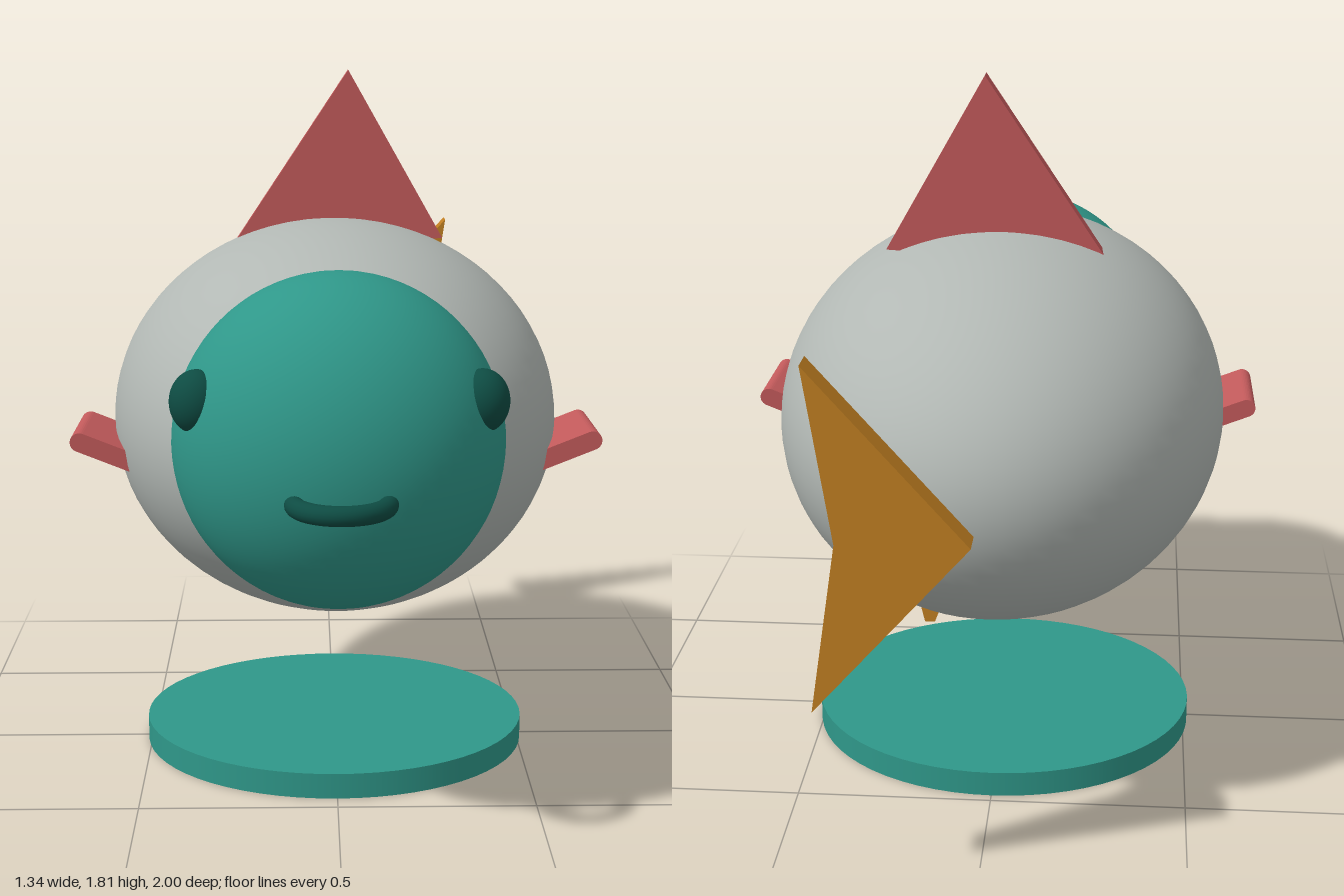
import * as THREE from 'three';

const paint = (name, color) => {
  const m = new THREE.MeshStandardMaterial({ color });
  m.name = name;
  return m;
};

export function createModel() {
  const group = new THREE.Group();
  const grey = paint('silver grey', 0xb2b8b4);
  const teal = paint('teal', 0x2f9789);
  const dark = paint('dark green', 0x0e4c43);
  const red = paint('coral red', 0xc25a5b);
  const amber = paint('amber', 0xc17f22);

  const add = (name, geometry, material, x = 0, y = 0, z = 0) => {
    const mesh = new THREE.Mesh(geometry, material);
    mesh.name = name;
    mesh.position.set(x, y, z);
    group.add(mesh);
    return mesh;
  };
  const ellipsoid = (rx, ry, rz) => new THREE.SphereGeometry(1, 64, 40).scale(rx, ry, rz);
  // Flat plate from outline points in the xy plane, centred on its thickness
  const plate = (points, depth) => new THREE.ExtrudeGeometry(
    new THREE.Shape(points.map(([x, y]) => new THREE.Vector2(x, y))),
    { depth, bevelEnabled: false }).translate(0, 0, -depth / 2);

  // Body and head
  add('body', ellipsoid(0.58, 0.503, 0.823), grey, 0, 0.918, -0.012);
  add('head', ellipsoid(0.397, 0.404, 0.35), teal, 0, 0.956, 0.553);

  // Mouth: half ring standing out from the face
  const mouth = new THREE.TorusGeometry(0.105, 0.023, 16, 40, Math.PI).rotateX(Math.PI / 2);
  add('mouth', mouth, dark, 0, 0.882, 0.872);

  // Back fin
  add('backFin', plate([[-0.28, 1.33], [0.29, 1.364], [0.038, 1.806]], 0.05), red, 0, 0, -0.117);

  // Forked tail and small lower fin
  add('tail', plate([[0, 0.918], [0.362, 0.508], [0.3, 0.918], [0.362, 1.327]], 0.07), amber, 0, 0, -0.965);
  add('lowerFin', plate([[0.1, 0.6], [0.14, 0.492], [0.165, 0.492], [0.19, 0.6]], 0.07), amber, 0, 0, -0.442);

  // Side fin section: slab with a rounded outer end
  const h = 0.024, length = 0.24;
  const section = new THREE.Shape();
  section.moveTo(0, -h);
  section.lineTo(length - h, -h);
  section.absarc(length - h, 0, h, -Math.PI / 2, Math.PI / 2, false);
  section.lineTo(0, h);
  section.closePath();
  const finGeometry = new THREE.ExtrudeGeometry(section, { depth: 0.27, bevelEnabled: false, curveSegments: 8 })
    .translate(-length, 0, -0.135);

  for (const side of [1, -1]) {
    const label = side > 0 ? 'left' : 'right';
    add(label + 'Eye', ellipsoid(0.064, 0.075, 0.064), dark, side * 0.328, 1.077, 0.683);
    const fin = add(label + 'SideFin', finGeometry, red, side * 0.667, 0.907, 0.178);
    // The far fin is the same slab turned half way round
    fin.rotation.set(0, side > 0 ? 0 : Math.PI, side * 0.38);
    if (side < 0) fin.rotation.order = 'ZYX';
  }

  // Oval stand
  add('base', new THREE.CylinderGeometry(1, 1, 0.066, 64).scale(0.512, 1, 0.461), teal, 0, 0.033, -0.014);

  return group;
}
